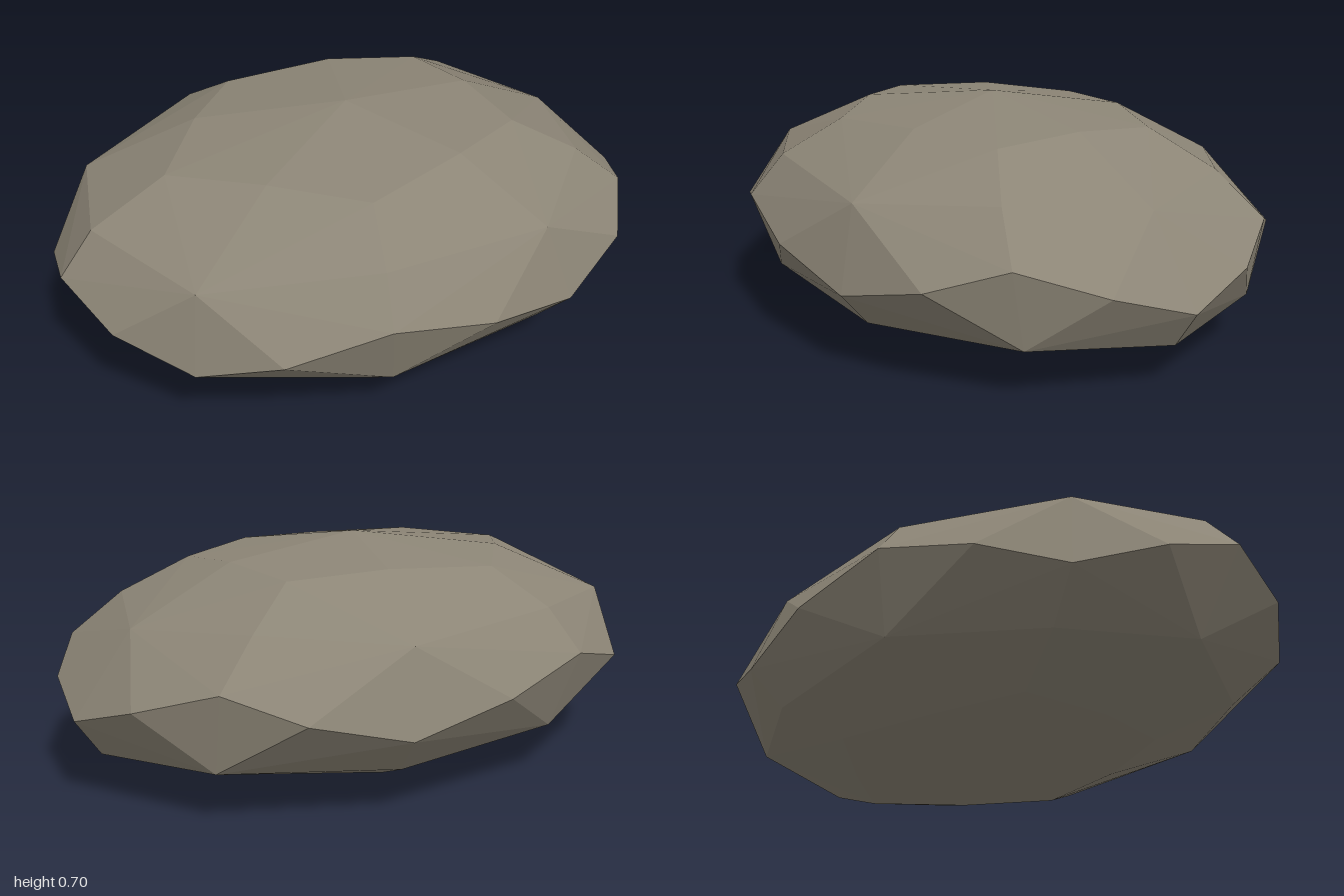
import * as THREE from 'three';

// Each ring of the stone: one height, and [x, z] points on its +z half.
// Rings with odd = 0 sit at 0, 72, 144 degrees; odd = 1 at 36, 108, 180.
const ring = (y, odd, pts) => (k) => {
  const step = ((k % 10) + 10) % 10;
  const half = step > 5 ? 10 - step : step;
  const [x, z] = pts[(half - odd) / 2];
  return [x, y, step > 5 ? -z : z];
};

// Waist ring: ten points halfway between the 36 degree steps
const WAIST = [[0.94, 0.24], [0.63, 0.635], [0.02, 0.78], [-0.6, 0.633], [-0.945, 0.243]];
const waist = (k) => {
  const step = ((k % 10) + 10) % 10;
  const [x, z] = WAIST[step > 4 ? 9 - step : step];
  return [x, 0.317, step > 4 ? -z : z];
};
// Two zigzag rings just above and below the waist
const waistHigh = ring(0.39, 1, [[0.79, 0.455], [-0.31, 0.737], [-1, 0]]);
const waistLow = ring(0.245, 0, [[1, 0], [0.35, 0.737], [-0.79, 0.455]]);

const upper = {
  start: 0, flip: true, tip: [-0.01, 0.705, 0],
  inner: ring(0.65, 0, [[0.465, 0], [0.16, 0.39], [-0.43, 0.24]]),
  shoulder: ring(0.63, 1, [[0.45, 0.28], [-0.2, 0.458], [-0.645, 0]]),
  hub: ring(0.49, 0, [[0.81, 0], [0.29, 0.665], [-0.75, 0.41]]),
  side: ring(0.52, 1, [[0.64, 0.39], [-0.27, 0.637], [-0.89, 0]]),
  near: waistHigh, far: waistLow,
};
const lower = {
  start: 1, flip: false, tip: [0.04, 0, 0],
  inner: ring(0.04, 1, [[0.46, 0.24], [-0.13, 0.39], [-0.475, 0]]),
  shoulder: ring(0.05, 0, [[0.69, 0], [0.23, 0.458], [-0.42, 0.28]]),
  hub: ring(0.155, 1, [[0.78, 0.41], [-0.26, 0.665], [-0.84, 0]]),
  side: ring(0.13, 0, [[0.92, 0], [0.31, 0.637], [-0.65, 0.39]]),
  near: waistLow, far: waistHigh,
};

// Facets of one half: five around the tip, then five around each hub corner
function halfStone(h) {
  const positions = [];
  const facet = (...q) => {
    const [a, b, c, d] = h.flip ? [q[0], q[3], q[2], q[1]] : q;
    positions.push(...a, ...b, ...c, ...a, ...c, ...d);
  };
  for (let k = h.start; k < 10; k += 2) {
    const hub = h.hub(k);
    facet(h.tip, h.inner(k), h.shoulder(k + 1), h.inner(k + 2));
    facet(hub, h.side(k + 1), h.shoulder(k + 1), h.inner(k));
    facet(hub, h.inner(k), h.shoulder(k - 1), h.side(k - 1));
    facet(hub, h.side(k - 1), h.near(k - 1), waist(k - 1));
    facet(hub, waist(k - 1), h.far(k), waist(k));
    facet(hub, waist(k), h.near(k + 1), h.side(k + 1));
  }
  const geometry = new THREE.BufferGeometry();
  geometry.setAttribute('position', new THREE.Float32BufferAttribute(positions, 3));
  geometry.computeVertexNormals();
  return geometry;
}

export function createModel() {
  const stone = new THREE.MeshStandardMaterial({ color: 0x8c8576, flatShading: true });
  stone.name = 'stone';

  const group = new THREE.Group();
  group.name = 'rock';
  for (const [name, half] of [['upperStone', upper], ['lowerStone', lower]]) {
    const mesh = new THREE.Mesh(halfStone(half), stone);
    mesh.name = name;
    group.add(mesh);
  }
  return group;
}
